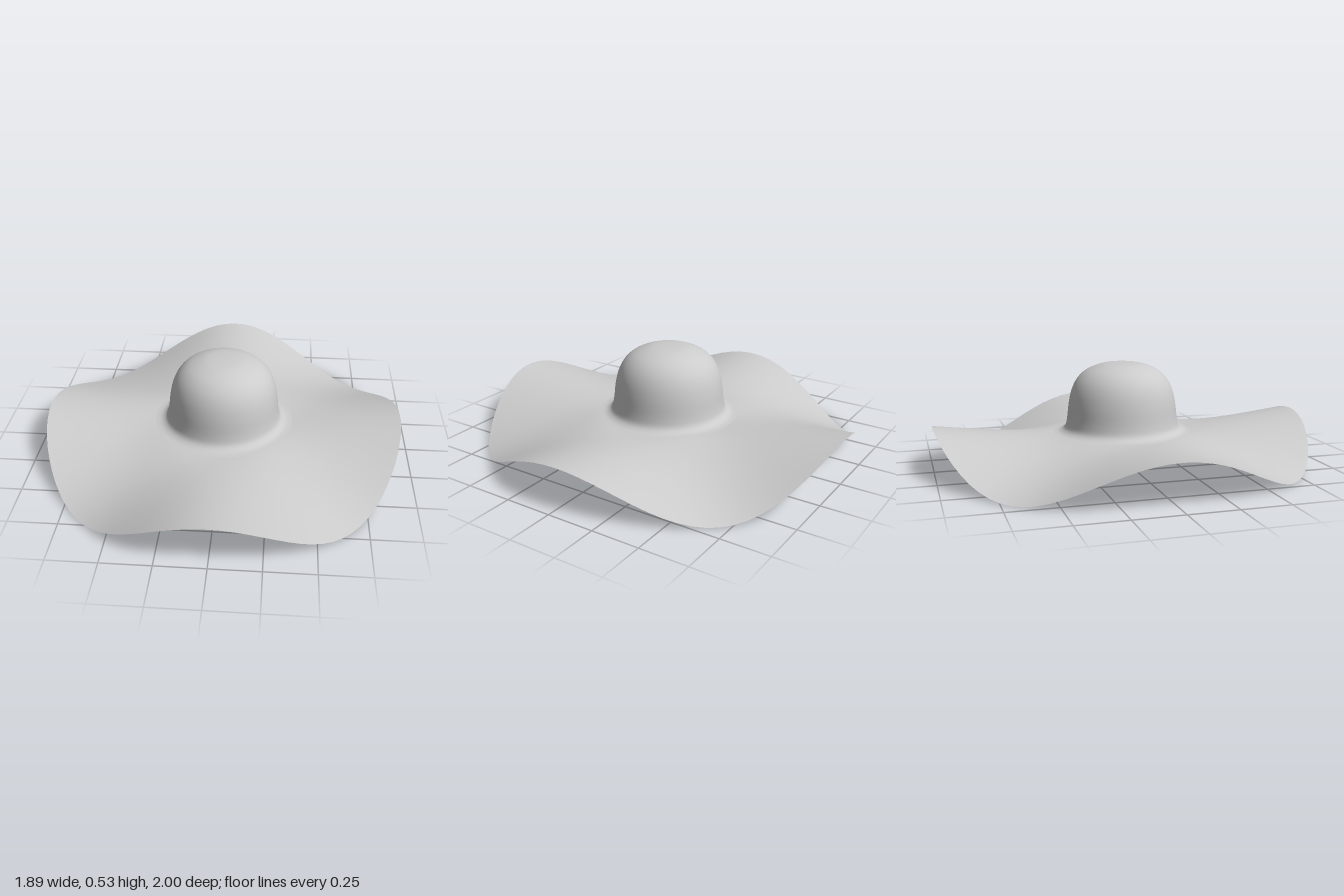
import * as THREE from 'three';
import { mergeVertices } from 'three/addons/utils/BufferGeometryUtils.js';

const SEGMENTS = 96;
const JOIN_R = 0.37, JOIN_Y = 0.162; // where the crown flows into the brim

// Revolve a profile (outer/lower end first), optionally bend it, and smooth it without a seam
function revolve(name, points, bend) {
  let geometry = new THREE.LatheGeometry(points, SEGMENTS);
  geometry.deleteAttribute('uv');
  geometry.deleteAttribute('normal');
  if (bend) bend(geometry.attributes.position);
  geometry = mergeVertices(geometry, 1e-5);
  geometry.computeVertexNormals();
  const material = new THREE.MeshStandardMaterial({ color: 0xcccccc, side: THREE.DoubleSide });
  const mesh = new THREE.Mesh(geometry, material);
  mesh.name = name;
  return mesh;
}

// Four waves round the brim: raised at front, back and sides, drooping on the diagonals
function bendBrim(position) {
  const p = new THREE.Vector3();
  for (let i = 0; i < position.count; i++) {
    p.fromBufferAttribute(position, i);
    const t = Math.max(0, (Math.hypot(p.x, p.z) - JOIN_R) / (1 - JOIN_R));
    const angle = Math.atan2(p.x, p.z);
    const lift = (0.5 + 0.5 * Math.cos(4 * angle));
    const rise = (0.062 + 0.008 * Math.cos(2 * angle)) * t ** 1.2;
    const droop = -JOIN_Y * t ** 1.25;
    position.setXYZ(i, p.x * (1 - 0.054 * t), JOIN_Y + THREE.MathUtils.lerp(droop, rise, lift), p.z);
  }
}

export function createModel() {
  const group = new THREE.Group();
  group.name = 'sunHat';

  // Domed crown, open underneath, with a small flare at its foot
  const crownProfile = new THREE.SplineCurve([
    [JOIN_R, JOIN_Y], [0.335, 0.167], [0.308, 0.187], [0.296, 0.23], [0.285, 0.32],
    [0.268, 0.39], [0.238, 0.447], [0.19, 0.491], [0.12, 0.52], [0.06, 0.529], [0, 0.531],
  ].map(([r, y]) => new THREE.Vector2(r, y)));
  group.add(revolve('crown', crownProfile.getPoints(50)));

  // Wide floppy brim
  const brimProfile = [];
  for (let i = 0; i <= 28; i++) {
    brimProfile.push(new THREE.Vector2(THREE.MathUtils.lerp(1, JOIN_R, i / 28), JOIN_Y));
  }
  group.add(revolve('brim', brimProfile, bendBrim));

  return group;
}
